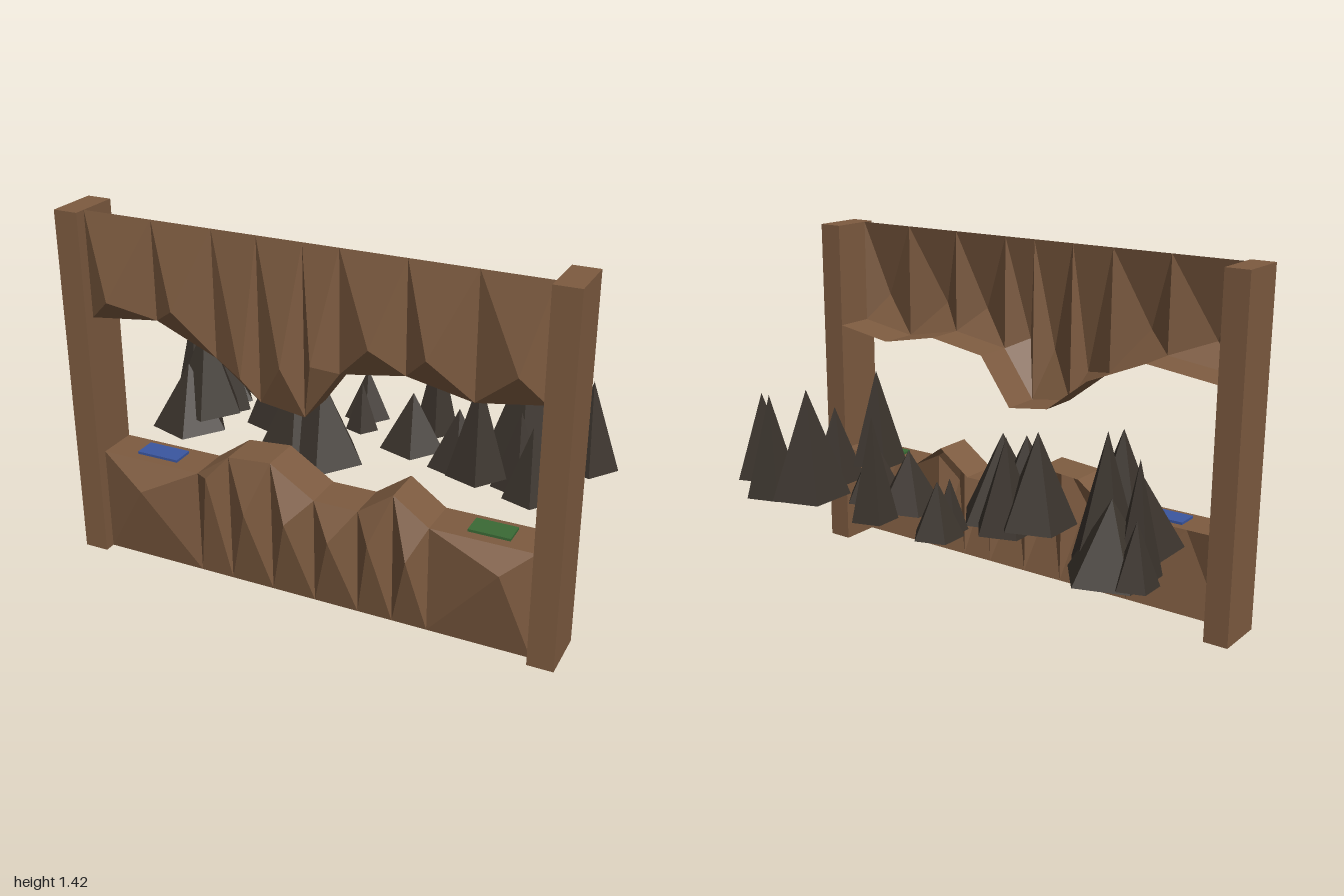
import * as THREE from 'three';

const material = (color, side = THREE.FrontSide) =>
  new THREE.MeshStandardMaterial({ color, flatShading: true, side });

const FRONT = 0.40, BACK = 0.235, BULGE = 0.472;

// Rock sheet: faceted front face from a straight outer edge to a ragged edge, plus a ledge running back.
// edge = [x, y] of the ragged edge, bulges = [x, y] of the point pushed forward in each panel.
function rockSheet(name, outerY, edge, bulges, mat) {
  const flip = outerY > edge[0][1];
  const positions = [];
  const tri = (a, b, c) => positions.push(...a, ...(flip ? c : b), ...(flip ? b : c));
  bulges.forEach(([mx, my], i) => {
    const [x0, y0] = edge[i], [x1, y1] = edge[i + 1];
    const ring = [[x0, outerY, FRONT], [x1, outerY, FRONT], [x1, y1, FRONT], [x0, y0, FRONT]];
    ring.forEach((p, k) => tri(p, ring[(k + 1) % 4], [mx, my, BULGE]));
    const [, , f1, f0] = ring;
    const b0 = [x0, y0, BACK], b1 = [x1, y1, BACK];
    tri(f0, f1, b1);
    tri(f0, b1, b0);
  });
  const geometry = new THREE.BufferGeometry();
  geometry.setAttribute('position', new THREE.Float32BufferAttribute(positions, 3));
  geometry.computeVertexNormals();
  const mesh = new THREE.Mesh(geometry, mat);
  mesh.name = name;
  return mesh;
}

function box(name, x0, x1, y0, y1, z0, z1, mat) {
  const mesh = new THREE.Mesh(new THREE.BoxGeometry(x1 - x0, y1 - y0, z1 - z0), mat);
  mesh.position.set((x0 + x1) / 2, (y0 + y1) / 2, (z0 + z1) / 2);
  mesh.name = name;
  return mesh;
}

// Each spike: x, z, radius, base y, tip y
const SPIKES = [
  [-0.79, -0.29, 0.17, 0.42, 0.70], [-0.72, -0.21, 0.135, 0.42, 0.905],
  [-0.69, -0.05, 0.15, 0.48, 0.87], [-0.74, 0.01, 0.16, 0.42, 0.69],
  [-0.91, -0.33, 0.085, 0.43, 0.66], [-0.87, -0.25, 0.09, 0.43, 0.845],
  [-0.37, -0.11, 0.15, 0.46, 0.815], [-0.25, -0.14, 0.125, 0.42, 0.78],
  [-0.13, 0.01, 0.175, 0.40, 0.74], [-0.24, 0.01, 0.16, 0.42, 0.75],
  [-0.10, -0.36, 0.10, 0.43, 0.64], [-0.08, -0.26, 0.07, 0.42, 0.62],
  [0.21, -0.36, 0.095, 0.43, 0.83], [0.18, -0.18, 0.135, 0.43, 0.66],
  [0.39, -0.14, 0.125, 0.41, 0.65], [0.60, -0.30, 0.165, 0.43, 0.86],
  [0.74, -0.365, 0.115, 0.42, 0.83], [0.87, -0.28, 0.12, 0.45, 0.80],
  [0.53, 0.04, 0.12, 0.49, 0.88], [0.66, -0.07, 0.11, 0.42, 0.72],
  [0.73, 0.00, 0.11, 0.42, 0.70], [0.82, -0.08, 0.075, 0.43, 0.74],
];

export function createModel() {
  const model = new THREE.Group();
  model.name = 'rockGateway';
  const rock = material(0x7d5b40);
  const rockSkin = material(0x7d5b40, THREE.DoubleSide);
  const dark = material(0x3a332c);

  // Side posts
  model.add(box('rightPost', -1, -0.9, 0, 1.42, 0.235, 0.445, rock));
  model.add(box('leftPost', 0.89, 0.99, 0, 1.42, 0.235, 0.445, rock));

  // Hanging rock above the opening
  model.add(rockSheet('upperRock', 1.42,
    [[-0.9, 1.0], [-0.61, 1.035], [-0.36, 0.93], [-0.18, 0.79], [0, 0.765],
      [0.14, 0.96], [0.39, 1.0], [0.64, 0.95], [0.89, 0.99]],
    [[-0.78, 1.1], [-0.5, 1.11], [-0.22, 0.9], [-0.06, 0.97],
      [0.06, 1.0], [0.28, 1.1], [0.49, 1.1], [0.81, 1.1]], rockSkin));

  // Rock wall below the opening
  model.add(rockSheet('lowerRock', 0,
    [[-0.9, 0.43], [-0.47, 0.43], [-0.33, 0.53], [-0.15, 0.545], [0.03, 0.43],
      [0.21, 0.43], [0.35, 0.53], [0.49, 0.43], [0.89, 0.43]],
    [[-0.69, 0.33], [-0.39, 0.46], [-0.23, 0.34], [-0.06, 0.34],
      [0.12, 0.31], [0.28, 0.34], [0.43, 0.31], [0.78, 0.35]], rockSkin));

  // Coloured plates on the lower ledge
  model.add(box('bluePlate', -0.77, -0.59, 0.425, 0.44, 0.27, 0.36, material(0x3a56a0)));
  model.add(box('greenPlate', 0.62, 0.78, 0.425, 0.44, 0.27, 0.36, material(0x3a6a35)));

  // Five-sided spikes behind, one corner pointing to +x
  const spikes = new THREE.Group();
  spikes.name = 'spikes';
  for (const [x, z, r, y0, y1] of SPIKES) {
    const spike = new THREE.Mesh(new THREE.ConeGeometry(r, y1 - y0, 5), dark);
    spike.position.set(x, (y0 + y1) / 2, z);
    spike.rotation.y = Math.PI / 2;
    spike.name = 'spike';
    spikes.add(spike);
  }
  model.add(spikes);
  return model;
}
